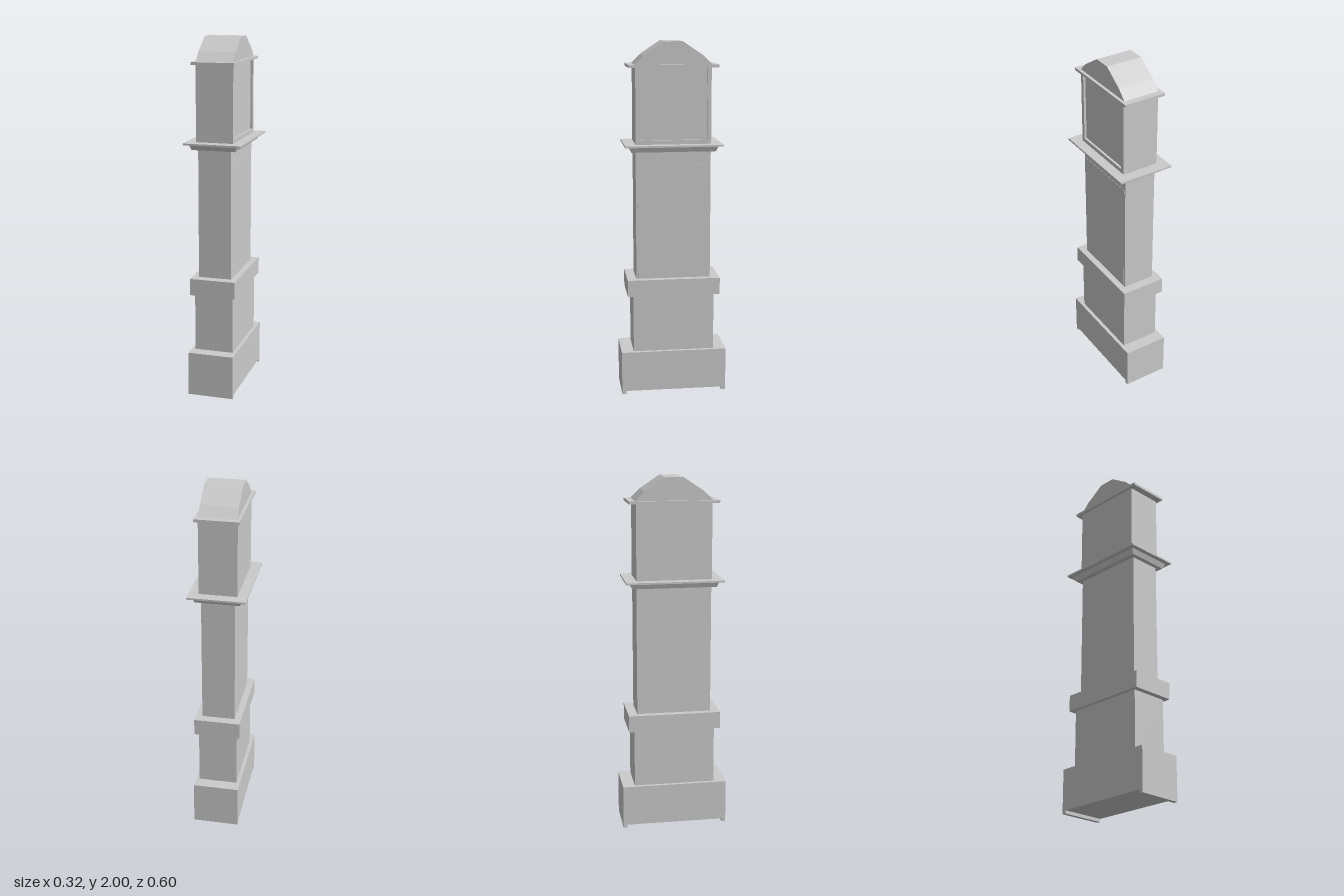
import * as THREE from 'three';

export function createModel() {
  const group = new THREE.Group();
  group.name = 'longcaseClock';
  const material = new THREE.MeshStandardMaterial({ color: 0xcccccc, flatShading: true });

  const add = (name, geometry) => {
    const mesh = new THREE.Mesh(geometry, material);
    mesh.name = name;
    group.add(mesh);
    return mesh;
  };

  // Box given by half width, half depth and its bottom and top heights
  const block = (name, hx, hz, y0, y1, x = 0, z = 0) => {
    const mesh = add(name, new THREE.BoxGeometry(hx * 2, y1 - y0, hz * 2));
    mesh.position.set(x, (y0 + y1) / 2, z);
    return mesh;
  };

  // Profile in the z-y plane, extruded along x from x0 to x1
  const extrudeX = (name, shape, x0, x1) => {
    const geometry = new THREE.ExtrudeGeometry(shape, { depth: x1 - x0, bevelEnabled: false });
    geometry.rotateY(Math.PI / 2).translate(x0, 0, 0);
    return add(name, geometry);
  };

  const polygon = (points) => new THREE.Shape(points.map(([u, v]) => new THREE.Vector2(u, v)));
  const rectangle = (h, y0, y1) => [[-h, y0], [h, y0], [h, y1], [-h, y1]];

  // Plinth with a shallow cutout that leaves a foot at each end
  extrudeX('plinth', polygon([
    [-0.3, 0], [-0.277, 0], [-0.277, 0.018], [0.277, 0.018],
    [0.277, 0], [0.3, 0], [0.3, 0.25], [-0.3, 0.25],
  ]), -0.13, 0.13);

  // Lower case, waist band and trunk
  block('lowerCase', 0.11, 0.23, 0.25, 0.58);
  block('waistBand', 0.13, 0.262, 0.58, 0.675);
  block('trunk', 0.093, 0.21, 0.675, 1.4);
  block('trunkDoor', 0.001, 0.2, 0.68, 1.33, 0.0935);

  // Flared moulding: a box whose upper corners lean outward
  const moulding = block('flaredMoulding', 0.123, 0.235, 1.4, 1.43);
  const corners = moulding.geometry.attributes.position;
  for (let i = 0; i < corners.count; i++) {
    if (corners.getY(i) > 0) {
      corners.setX(i, Math.sign(corners.getX(i)) * 0.135);
      corners.setZ(i, Math.sign(corners.getZ(i)) * 0.246);
    }
  }
  moulding.geometry.computeVertexNormals();
  block('trunkCornice', 0.16, 0.272, 1.43, 1.44);

  // Hood with a recessed panel framed on one side
  block('hoodCase', 0.0985, 0.21, 1.44, 1.86, -0.0065);
  const frame = polygon(rectangle(0.21, 1.44, 1.86));
  frame.holes.push(polygon(rectangle(0.188, 1.463, 1.857)));
  extrudeX('hoodDoorFrame', frame, 0.092, 0.105);
  block('hoodCornice', 0.12, 0.249, 1.86, 1.875);

  // Faceted roof
  extrudeX('roof', polygon([
    [-0.213, 1.875], [0.213, 1.875], [0.163, 1.925],
    [0.05, 2], [-0.05, 2], [-0.163, 1.925],
  ]), -0.103, 0.103);

  return group;
}
